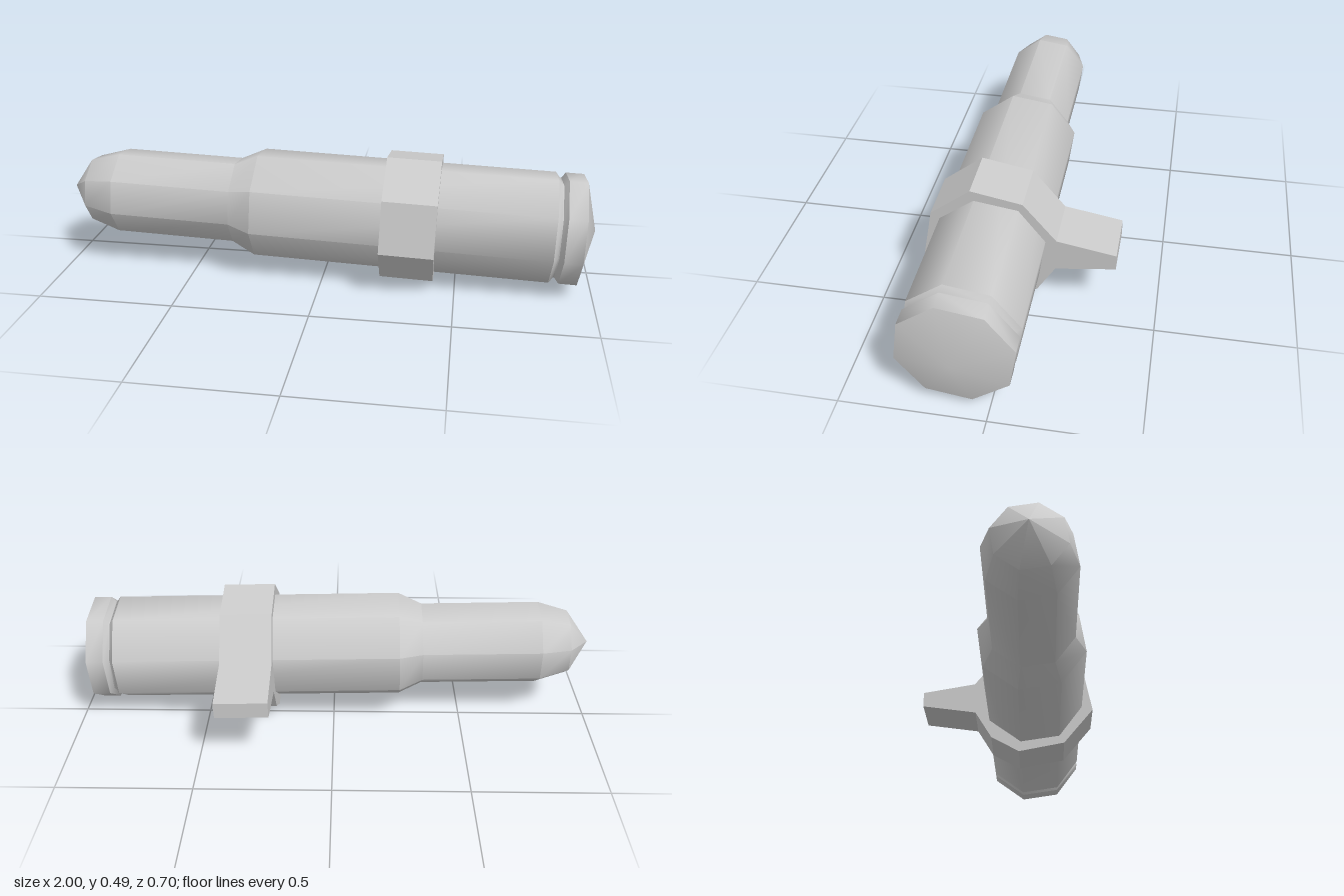
import * as THREE from 'three';
import { toCreasedNormals } from 'three/addons/utils/BufferGeometryUtils.js';

const vectors = (points) => points.map(([x, y]) => new THREE.Vector2(x, y));

export function createModel() {
  const model = new THREE.Group();
  model.name = 'cartridgeWithClip';
  const material = new THREE.MeshStandardMaterial({ color: 0xcccccc });

  // Eight-sided round: nose, neck, shoulder, case, groove and shallow conical base.
  // Each profile point is [radius, distance along the axis].
  const profile = vectors([
    [0, -1], [0.127, -0.915], [0.163, -0.8], [0.163, -0.345], [0.207, -0.255],
    [0.207, 0.845], [0.186, 0.861], [0.186, 0.865], [0.207, 0.881],
    [0.207, 0.947], [0, 1],
  ]);
  const bodyGeometry = new THREE.LatheGeometry(profile, 8, 0.247);
  bodyGeometry.rotateZ(-Math.PI / 2);
  const body = new THREE.Mesh(toCreasedNormals(bodyGeometry, 0.82), material);
  body.name = 'cartridgeBody';

  // Clip: an angular ring with a tapered tab toward the back (+x of the shape is -z)
  const outline = vectors([
    [-0.063, 0.241], [-0.209, 0.126], [-0.245, -0.064], [-0.125, -0.208],
    [0.058, -0.243], [0.17, -0.18], [0.236, -0.07], [0.452, -0.039],
    [0.452, 0.022], [0.24, 0.059], [0.122, 0.206],
  ]);
  const clipGeometry = new THREE.ExtrudeGeometry(new THREE.Shape(outline), {
    depth: 0.198, bevelEnabled: false,
  });
  clipGeometry.rotateY(Math.PI / 2);
  const clip = new THREE.Mesh(clipGeometry, material);
  clip.name = 'clipRing';
  clip.position.x = 0.229;

  // The whole round lies slightly tilted
  const round = new THREE.Group();
  round.name = 'tiltedRound';
  round.add(body, clip);
  round.position.set(0, 0.257, 0.102);
  round.rotation.set(0, -0.008, -0.0283);
  model.add(round);
  return model;
}
